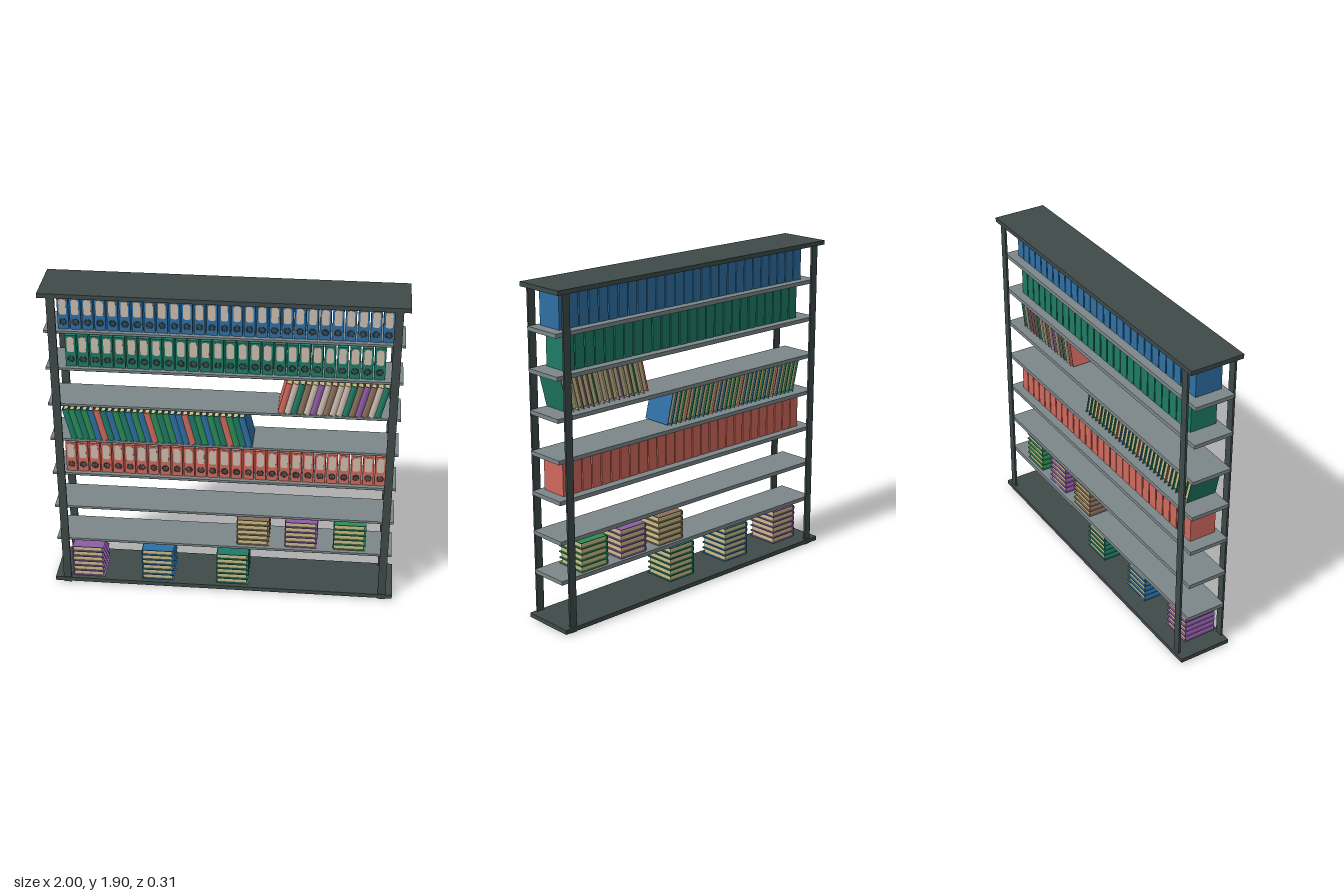
import * as THREE from 'three';

const mat = (name, color) => {
  const m = new THREE.MeshStandardMaterial({ color });
  m.name = name;
  return m;
};

export function createModel() {
  const M = {
    dark: mat('dark frame', 0x3e4a49),
    grey: mat('shelf grey', 0x7c8789),
    blue: mat('blue', 0x2e6fa3),
    teal: mat('teal', 0x1f7b66),
    red: mat('coral red', 0xd0695d),
    cream: mat('label cream', 0xcdbdaf),
    page: mat('page tan', 0xcabe88),
    purple: mat('purple', 0x8e5ca6),
    brown: mat('brown', 0x8b705a),
    green: mat('green', 0x2b8d56),
  };
  const root = new THREE.Group();
  root.name = 'bookcase';

  const add = (parent, name, geo, material, x = 0, y = 0, z = 0) => {
    const m = new THREE.Mesh(geo, material);
    m.name = name;
    m.position.set(x, y, z);
    parent.add(m);
    return m;
  };
  const group = (name) => {
    const g = new THREE.Group();
    g.name = name;
    root.add(g);
    return g;
  };
  const shapeOf = (pts) => new THREE.Shape(pts.map(([x, y]) => new THREE.Vector2(x, y)));

  // Frame: top and bottom boards, four flat posts
  const board = new THREE.BoxGeometry(2, 0.025, 0.315);
  add(root, 'topBoard', board, M.dark, 0, 1.888, 0);
  add(root, 'bottomBoard', board, M.dark, 0, 0.022, 0);
  const post = new THREE.BoxGeometry(0.046, 1.88, 0.012);
  for (const x of [-0.929, 0.938]) {
    add(root, 'frontPost', post, M.dark, x, 0.94, 0.147);
    add(root, 'backPost', post, M.dark, x, 0.94, -0.14);
  }

  // Shelves with a chamfered lower front edge; row 0 is the highest
  const shelfTop = (i) => 1.666 - 0.2277 * i;
  const shelfGeo = new THREE.ExtrudeGeometry(
    shapeOf([[-0.126, -0.01], [-0.122, -0.017], [-0.11, -0.023], [0.111, -0.023], [0.111, 0], [-0.126, 0]]),
    { depth: 1.966, bevelEnabled: false });
  shelfGeo.rotateY(Math.PI / 2).translate(-0.983, 0, 0);
  for (let i = 0; i < 7; i++) add(root, 'shelf', shelfGeo, M.grey, 0, shelfTop(i), 0);

  // Binders: body, rounded label and finger ring
  const BW = 0.06, BH = 0.189, BD = 0.16;
  const binderGeo = new THREE.BoxGeometry(BW, BH, BD);
  const label = new THREE.Shape();
  const lw = 0.02, lh = 0.046, r = 0.014;
  label.moveTo(-lw + r, -lh);
  label.lineTo(lw - r, -lh);
  label.quadraticCurveTo(lw, -lh, lw, -lh + r);
  label.lineTo(lw, lh - r);
  label.quadraticCurveTo(lw, lh, lw - r, lh);
  label.lineTo(-lw + r, lh);
  label.quadraticCurveTo(-lw, lh, -lw, lh - r);
  label.lineTo(-lw, -lh + r);
  label.quadraticCurveTo(-lw, -lh, -lw + r, -lh);
  const labelGeo = new THREE.ExtrudeGeometry(label, { depth: 0.002, bevelEnabled: false, curveSegments: 5 });
  const ringGeo = new THREE.TorusGeometry(0.016, 0.004, 6, 16).scale(1, 1, 0.5);
  const holeGeo = new THREE.CircleGeometry(0.009, 12);

  const binderRow = (row, count, first, material) => {
    const g = group('binderRow');
    for (let i = 0; i < count; i++) {
      const x = first + i * 0.0678, y = shelfTop(row);
      add(g, 'binder', binderGeo, material, x, y + BH / 2, 0.02);
      add(g, 'binderLabel', labelGeo, M.cream, x, y + 0.134, 0.1);
      add(g, 'fingerRing', ringGeo, M.dark, x, y + 0.045, 0.101);
      add(g, 'fingerHole', holeGeo, M.dark, x, y + 0.045, 0.101);
    }
  };
  binderRow(0, 27, -0.874, M.blue);
  binderRow(1, 26, -0.842, M.teal);
  binderRow(4, 27, -0.874, M.red);

  // Book: wrapped cover with a rounded spine at +z, page block inside
  const T = 0.0345, H = 0.194, D = 0.19, C = 0.0035;
  const h = T / 2, d = D / 2;
  const cover = new THREE.Shape();
  cover.moveTo(h, d);
  cover.lineTo(h - C, d);
  cover.lineTo(h - C, -d + 0.008);
  cover.lineTo(-h + C, -d + 0.008);
  cover.lineTo(-h + C, d);
  cover.lineTo(-h, d);
  cover.lineTo(-h, -d + 0.006);
  cover.quadraticCurveTo(0, -d - 0.006, h, -d + 0.006);
  const coverGeo = new THREE.ExtrudeGeometry(cover, { depth: H, bevelEnabled: false, curveSegments: 6 });
  coverGeo.translate(0, 0, -H / 2).rotateX(-Math.PI / 2);
  const pageGeo = new THREE.BoxGeometry(T - 2 * C, H - 0.018, D - 0.018);

  const book = (parent, material) => {
    const b = new THREE.Group();
    b.name = 'book';
    add(b, 'cover', coverGeo, material);
    add(b, 'pages', pageGeo, M.page, 0, 0, 0.001);
    parent.add(b);
    return b;
  };

  // Rows of leaning books, one letter per cover colour
  const code = { r: M.red, c: M.cream, t: M.teal, n: M.brown, p: M.purple, b: M.blue, g: M.green };
  const lean = 0.24;
  const spanX = H * Math.sin(lean) + T * Math.cos(lean);
  const spanY = H * Math.cos(lean) + T * Math.sin(lean);
  const leaningRow = (row, startX, side, colours) => {
    const g = group('leaningBooks');
    [...colours].forEach((c, i) => {
      const b = book(g, code[c]);
      b.position.set(startX + spanX / 2 + i * T / Math.cos(lean), shelfTop(row) + spanY / 2, 0.035);
      b.rotation.z = -side * lean;
    });
  };
  leaningRow(2, 0.305, 1, 'rctncpcncctnpnct');
  leaningRow(3, -0.907, -1, 'tgtgbrtbgtbgbrgtgbbrtgbgtrgtb');

  // Flat stacks, spines towards -x
  const flat = new THREE.Matrix4().makeBasis(
    new THREE.Vector3(0, 1, 0), new THREE.Vector3(0, 0, -1), new THREE.Vector3(-1, 0, 0));
  const stack = (x, y, z, count, material) => {
    const g = group('bookStack');
    for (let i = 0; i < count; i++) {
      const b = book(g, material);
      b.setRotationFromMatrix(flat);
      b.position.set(x, y + T * (i + 0.5), z);
    }
  };
  stack(-0.803, 0.036, 0.035, 6, M.purple);
  stack(-0.388, 0.036, 0.035, 6, M.blue);
  stack(0.055, 0.036, 0.035, 6, M.teal);
  stack(0.172, shelfTop(6), 0.005, 5, M.brown);
  stack(0.453, shelfTop(6), 0.005, 5, M.purple);
  stack(0.735, shelfTop(6), 0.005, 5, M.green);

  return root;
}
